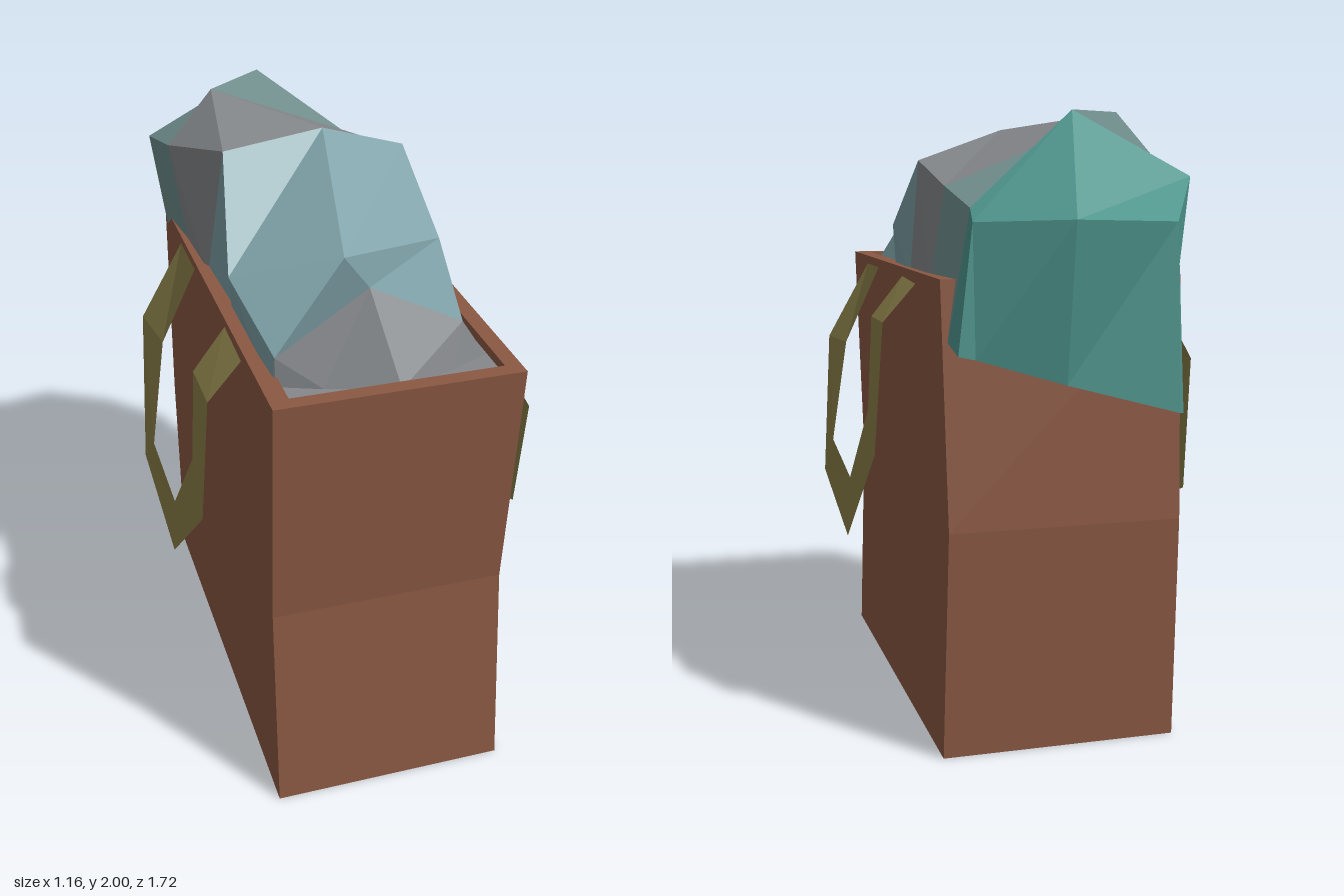
import * as THREE from 'three';

// Grid of rows (each a list of [x, y, z]) skinned with flat facets
function skin(name, rows, color, closed = false) {
  const pos = [];
  for (let i = 0; i < rows.length - 1; i++) {
    const n = rows[i].length;
    for (let j = 0; j < (closed ? n : n - 1); j++) {
      const k = (j + 1) % n;
      const [a, b, c, d] = [rows[i][j], rows[i][k], rows[i + 1][k], rows[i + 1][j]];
      pos.push(...a, ...b, ...c, ...a, ...c, ...d);
    }
  }
  const geo = new THREE.BufferGeometry();
  geo.setAttribute('position', new THREE.Float32BufferAttribute(pos, 3));
  geo.computeVertexNormals();
  const mesh = new THREE.Mesh(geo, new THREE.MeshStandardMaterial({
    color, flatShading: true, side: THREE.DoubleSide,
  }));
  mesh.name = name;
  return mesh;
}

// Rectangular ring, counter-clockwise seen from above
const ring = (y, x0, x1, zBack, zFront) => [
  [x0, y, zFront], [x1, y, zFront], [x1, y, zBack], [x0, y, zBack],
];

export function createModel() {
  const group = new THREE.Group();
  const brown = 0x8b5842, strap = 0x8b8049;
  const grey = 0x85888b, pale = 0x7c9fa5, dusk = 0x71908f, teal = 0x4f968e;

  // Bag: bowed outer walls, thick rim, inner walls; first ring closes the bottom
  group.add(skin('bag', [
    ring(0, 0, 0, 0, 0),
    ring(0, -0.385, 0.38, -0.63, 0.86),
    ring(0.73, -0.385, 0.365, -0.66, 0.815),
    ring(1.5, -0.385, 0.38, -0.63, 0.86),
    ring(1.5, -0.325, 0.33, -0.58, 0.81),
    ring(1.4, -0.325, 0.33, -0.58, 0.81),
  ], brown, true));

  // Flat filling just below the rim
  const filling = new THREE.Mesh(
    new THREE.BoxGeometry(0.655, 0.04, 1.39),
    new THREE.MeshStandardMaterial({ color: grey, flatShading: true }),
  );
  filling.name = 'filling';
  filling.position.set(0.0025, 1.45, 0.115);
  group.add(filling);

  // Crumpled cloth: cross-sections from front to back, each from -x to +x
  const cloth = [
    [[-0.33, 1.46, 0.69], [-0.2, 1.47, 0.74], [0.01, 1.48, 0.82], [0.2, 1.47, 0.74], [0.33, 1.46, 0.69]],
    [[-0.34, 1.46, 0.68], [-0.33, 1.56, 0.68], [-0.05, 1.75, 0.69], [0.24, 1.6, 0.69], [0.33, 1.46, 0.68]],
    [[-0.34, 1.46, 0.21], [-0.35, 1.6, 0.21], [-0.02, 1.69, 0.36], [0.36, 1.63, 0.18], [0.35, 1.46, 0.18]],
    [[-0.35, 1.46, -0.1], [-0.3, 1.92, -0.03], [0.04, 1.95, -0.07], [0.33, 1.85, -0.11], [0.36, 1.46, -0.1]],
    [[-0.36, 1.46, -0.35], [-0.42, 1.85, -0.32], [-0.25, 2, -0.4], [0.31, 1.77, -0.4], [0.36, 1.46, -0.4]],
    [[-0.37, 1.35, -0.61], [-0.44, 1.8, -0.56], [-0.05, 2, -0.56], [0.295, 1.71, -0.66], [0.36, 1.31, -0.645]],
    [[-0.32, 1.1, -0.83], [-0.3, 1.67, -0.81], [0.03, 1.68, -0.86], [0.3, 1.67, -0.71], [0.35, 1.28, -0.73]],
    [[-0.32, 1.1, -0.83], [-0.31, 1.1, -0.83], [0.03, 1.19, -0.78], [0.3, 1.27, -0.74], [0.35, 1.28, -0.73]],
    [[-0.37, 1.35, -0.61], [-0.31, 1.35, -0.61], [0.03, 1.33, -0.62], [0.3, 1.31, -0.63], [0.36, 1.31, -0.645]],
  ];
  const bands = [grey, pale, pale, grey, dusk, teal, teal, teal];
  const clothGroup = new THREE.Group();
  clothGroup.name = 'cloth';
  bands.forEach((color, i) =>
    clothGroup.add(skin('clothFold' + (i + 1), [cloth[i], cloth[i + 1]], color)));
  group.add(clothGroup);

  // Handles: hanging U straps, pairs of outer and inner edge points
  const loop = [
    [[0.38, 1.47, 0.58], [0.38, 1.47, 0.36]],
    [[0.53, 1.2, 0.59], [0.5, 1.2, 0.38]],
    [[0.58, 0.72, 0.43], [0.57, 0.86, 0.28]],
    [[0.56, 0.56, 0.05], [0.55, 0.77, 0.04]],
    [[0.52, 0.91, -0.28], [0.51, 1.03, -0.11]],
    [[0.49, 1.34, -0.29], [0.49, 1.34, -0.09]],
    [[0.38, 1.46, -0.28], [0.38, 1.47, -0.07]],
  ];
  // The second handle is the first one turned half round
  const turned = loop.map((pair) => pair.map(([x, y, z]) => [-x - 0.005, y, 0.215 - z]));
  group.add(skin('leftHandle', loop, strap), skin('rightHandle', turned, strap));

  return group;
}
